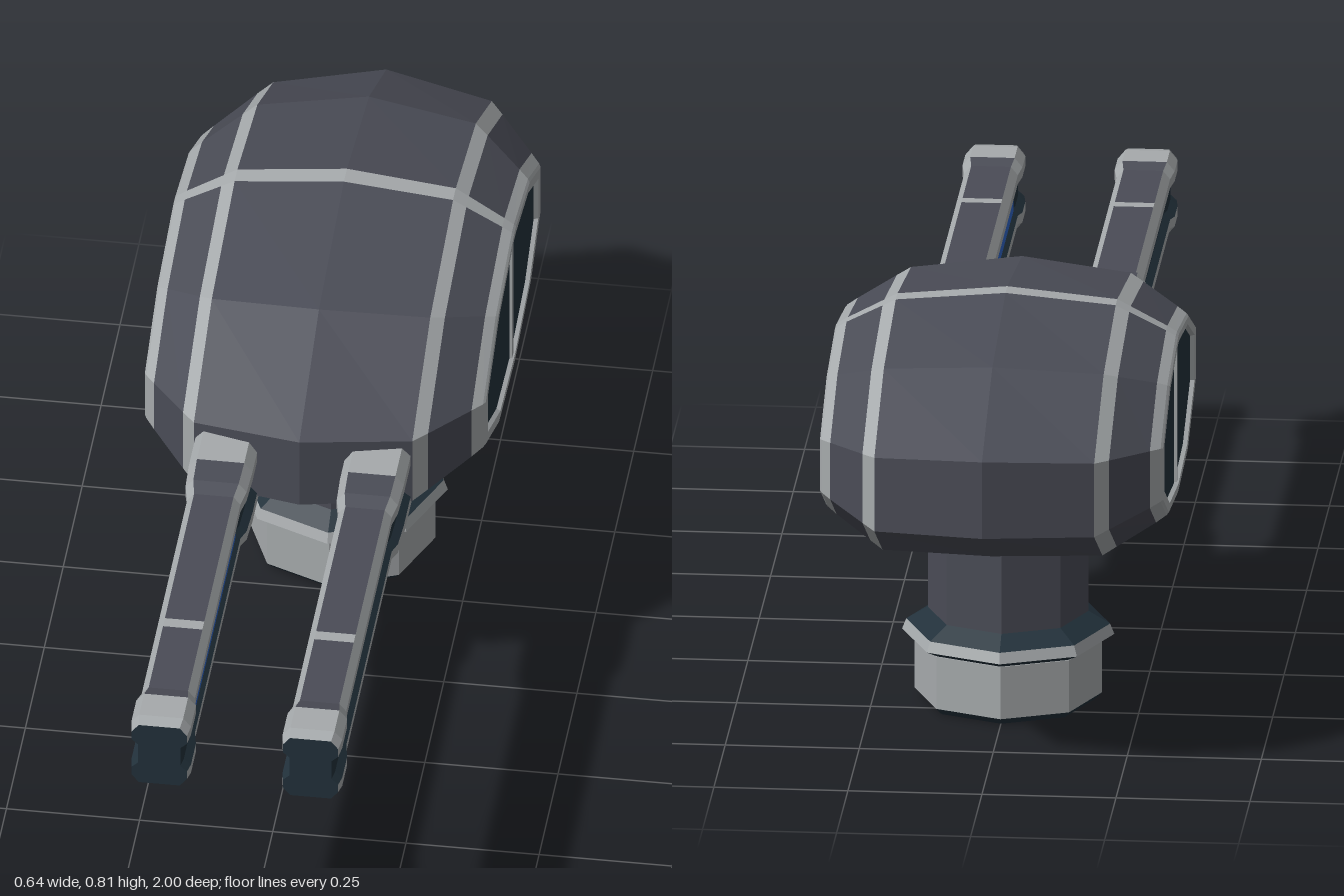
import * as THREE from 'three';

const material = (name, color) => {
  const m = new THREE.MeshStandardMaterial({ color });
  m.name = name;
  return m;
};

// Faceted skin between closed rings of points; paint(i, j) picks the material of each facet.
function loft(name, rings, paint) {
  const buckets = new Map();
  for (let i = 0; i < rings.length - 1; i++) {
    const n = rings[i].length;
    for (let j = 0; j < n; j++) {
      const k = (j + 1) % n;
      const a = rings[i][j], b = rings[i][k], c = rings[i + 1][k], d = rings[i + 1][j];
      const mat = paint(i, j);
      if (!buckets.has(mat)) buckets.set(mat, []);
      buckets.get(mat).push(...a, ...b, ...c, ...a, ...c, ...d);
    }
  }
  const positions = [], mats = [], geometry = new THREE.BufferGeometry();
  for (const [mat, points] of buckets) {
    geometry.addGroup(positions.length / 3, points.length / 3, mats.length);
    for (const p of points) positions.push(p);
    mats.push(mat);
  }
  geometry.setAttribute('position', new THREE.Float32BufferAttribute(positions, 3));
  geometry.computeVertexNormals();
  const mesh = new THREE.Mesh(geometry, mats);
  mesh.name = name;
  return mesh;
}

export function createModel() {
  const plate = material('dark grey plating', 0x4a4c56);
  const trim = material('light grey trim', 0xa6aaac);
  const glass = material('dark teal', 0x22313b);
  const glow = material('blue light', 0x2f66c8);
  const model = new THREE.Group();

  // Hull: side profile [z, y], scaled down towards both flanks
  const profile = [
    [-1, 0.65], [-0.77, 0.76], [-0.48, 0.81], [-0.44, 0.81], [-0.11, 0.76], [0.15, 0.645],
    [0.15, 0.50], [-0.13, 0.38], [-0.44, 0.36], [-0.48, 0.36], [-0.80, 0.40], [-1, 0.50],
  ];
  // x, centre height, height scale, length scale, material from here outwards
  const stations = [
    [0, 0.585, 1, 1, plate],
    [0.205, 0.574, 0.96, 0.912, trim],
    [0.23, 0.574, 0.90, 0.855, plate],
    [0.298, 0.573, 0.74, 0.69, trim],
    [0.316, 0.573, 0.69, 0.645, trim],
    [0.32, 0.573, 0.67, 0.63, trim],
    [0.32, 0.573, 0.61, 0.575, trim],
    [0.312, 0.573, 0.60, 0.565, glass],
    [0.312, 0.573, 0, 0, glass],
  ];
  const last = stations.length - 1;
  const hullRings = [];
  for (let s = -last; s <= last; s++) {
    const [x, cy, ky, kz] = stations[Math.abs(s)];
    hullRings.push(profile.map(([z, y]) =>
      [Math.sign(s) * x, cy + (y - 0.585) * ky, -0.425 + (z + 0.425) * kz]));
  }
  model.add(loft('hull', hullRings, (i, j) => {
    const s = i < last ? last - 1 - i : i - last;
    const crossBand = j === 2 || j === 8;
    return crossBand && s < 6 ? trim : stations[s][4];
  }));

  // Window mullions
  for (const side of [-1, 1]) {
    const bar = new THREE.Mesh(new THREE.BoxGeometry(0.008, 0.27, 0.016), trim);
    bar.name = 'windowBar';
    bar.position.set(side * 0.313, 0.573, -0.44);
    model.add(bar);
  }

  // Octagonal pedestal: name, bottom y, top y, bottom radius, top radius, material
  const pedestal = [
    ['foot', 0, 0.013, 0.162, 0.175, glass],
    ['base', 0.013, 0.115, 0.175, 0.175, trim],
    ['collarUnderside', 0.115, 0.128, 0.172, 0.198, glass],
    ['collarRim', 0.128, 0.148, 0.198, 0.19, trim],
    ['collarSlope', 0.148, 0.172, 0.19, 0.15, glass],
    ['neck', 0.172, 0.42, 0.15, 0.15, plate],
  ];
  for (const [name, y0, y1, r0, r1, mat] of pedestal) {
    const geometry = new THREE.CylinderGeometry(r1, r0, y1 - y0, 8).toNonIndexed();
    geometry.computeVertexNormals();
    const mesh = new THREE.Mesh(geometry, mat);
    mesh.name = name;
    mesh.position.set(0, (y0 + y1) / 2, -0.42);
    model.add(mesh);
  }

  // Barrels: grooved cross-section, anticlockwise from the lower right
  const half = [
    [0.037, -0.064], [0.05, -0.048], [0.05, -0.031], [0.038, -0.02],
    [0.038, 0.02], [0.05, 0.031], [0.05, 0.048], [0.037, 0.064],
  ];
  const section = [...half, ...half.map(([x, y]) => [-x, -y])];
  const facets = [trim, trim, glass, glass, glass, trim, trim, plate];
  // z, scale, whether the top and bottom are trimmed from here on
  const steps = [
    [0, 1.2, true], [0.19, 1.2, false], [0.25, 1.15, false], [0.28, 1, false],
    [0.665, 1, true], [0.69, 1, false], [0.88, 1, false], [0.91, 1.12, true],
    [0.975, 1.12, true], [1, 1.04, true],
  ];
  for (const side of [-1, 1]) {
    const gun = new THREE.Group();
    gun.name = side > 0 ? 'leftBarrel' : 'rightBarrel';
    gun.position.set(side * 0.142, 0.54, 0);
    const rings = steps.map(([z, k]) => section.map(([x, y]) => [x * k, y * k, z]));
    gun.add(loft('barrelBody', rings, (i, j) => {
      const mat = facets[j % 8];
      return mat === plate && steps[i][2] ? trim : mat;
    }));

    // Muzzle face
    const face = new THREE.Shape(section.map(([x, y]) => new THREE.Vector2(x * 1.04, y * 1.04)));
    const muzzle = new THREE.Mesh(new THREE.ShapeGeometry(face), glass);
    muzzle.name = 'muzzle';
    muzzle.position.z = 1;
    gun.add(muzzle);

    // Light strip in the inner groove
    const strip = new THREE.Mesh(new THREE.BoxGeometry(0.008, 0.036, 0.57), glow);
    strip.name = 'lightStrip';
    strip.position.set(-side * 0.039, 0, 0.58);
    gun.add(strip);
    model.add(gun);
  }
  return model;
}
